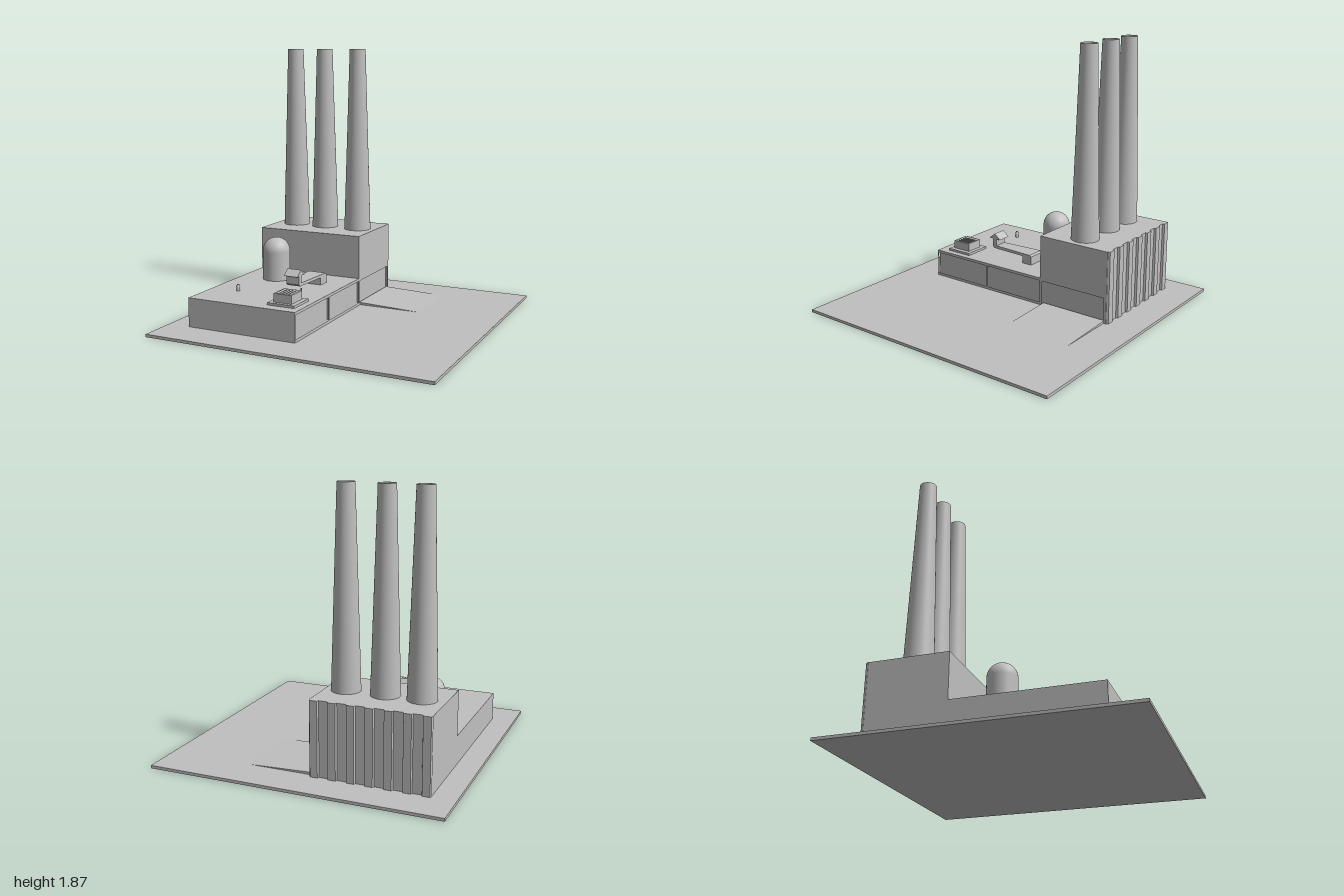
import * as THREE from 'three';

const concrete = new THREE.MeshStandardMaterial({ color: 0xc0c0c0 });

export function createModel() {
  const model = new THREE.Group();
  const add = (name, geometry) => {
    const mesh = new THREE.Mesh(geometry, concrete);
    mesh.name = name;
    model.add(mesh);
    return mesh;
  };
  // box from its minimum and maximum corners
  const box = (name, x0, x1, y0, y1, z0, z1) =>
    add(name, new THREE.BoxGeometry(x1 - x0, y1 - y0, z1 - z0)
      .translate((x0 + x1) / 2, (y0 + y1) / 2, (z0 + z1) / 2));
  const polygon = (pts, Type = THREE.Shape) => new Type(pts.map(([a, b]) => new THREE.Vector2(a, b)));
  const rect = (a0, a1, b0, b1) => [[a0, b0], [a1, b0], [a1, b1], [a0, b1]];
  // side profile given as [z, y], extruded along x
  const sideExtrude = (pts, x0, x1, holes = []) => {
    const flip = (list) => list.map(([z, y]) => [-z, y]);
    const shape = polygon(flip(pts));
    shape.holes = holes.map((h) => polygon(flip(h), THREE.Path));
    return new THREE.ExtrudeGeometry(shape, { depth: x1 - x0, bevelEnabled: false })
      .rotateY(Math.PI / 2).translate(x0, 0, 0);
  };
  // plan profile given as [x, z], extruded upwards
  const planExtrude = (pts, y0, y1, holes = []) => {
    const flip = (list) => list.map(([x, z]) => [x, -z]);
    const shape = polygon(flip(pts));
    shape.holes = holes.map((h) => polygon(flip(h), THREE.Path));
    return new THREE.ExtrudeGeometry(shape, { depth: y1 - y0, bevelEnabled: false })
      .rotateX(-Math.PI / 2).translate(0, y0, 0);
  };

  // Ground slab
  box('groundSlab', -1, 1, 0, 0.02, -1, 1);

  // L-shaped hall: low front, tall rear, with recessed bays on the left wall
  const hall = [[0.745, 0.02], [0.745, 0.22], [-0.21, 0.22], [-0.21, 0.53], [-0.752, 0.53], [-0.752, 0.02]];
  add('hall', sideExtrude(hall, -0.84, -0.05));
  add('bayWall', sideExtrude(hall, -0.05, -0.03, [
    rect(0.275, 0.735, 0.04, 0.2),
    rect(-0.205, 0.26, 0.04, 0.2),
    rect(-0.73, -0.225, 0.035, 0.2),
  ]));

  // Corrugation ribs on the back wall
  for (let i = 0; i < 7; i++) {
    const x = -0.81 + i * 0.1242;
    add('backRib', planExtrude([
      [x - 0.032, -0.75], [x - 0.026, -0.767], [x + 0.026, -0.767], [x + 0.032, -0.75],
    ], 0.02, 0.53));
  }

  // Loading ramp
  const ramp = new THREE.Shape([[-0.04, 0.015], [0.42, 0.015], [0.42, 0.02], [-0.03, 0.037], [-0.04, 0.037]]
    .map(([x, y]) => new THREE.Vector2(x, y)));
  add('ramp', new THREE.ExtrudeGeometry(ramp, { depth: 0.5, bevelEnabled: false }).translate(0, 0, -0.735));

  // Hollow tapering chimneys
  const lathe = (pts, seg = 40) => new THREE.LatheGeometry(pts.map(([r, y]) => new THREE.Vector2(r, y)), seg);
  for (const x of [-0.685, -0.44, -0.17]) {
    const stack = new THREE.Group();
    stack.name = 'chimney';
    stack.position.set(x, 0, -0.485);
    const parts = {
      chimneyShell: [[0.098, 0.53], [0.058, 1.865]],
      chimneyRim: [[0.058, 1.865], [0.051, 1.865]],
      chimneyBore: [[0.051, 1.865], [0.051, 0.532]],
      chimneyFloor: [[0.051, 0.532], [0, 0.532]],
    };
    for (const [name, pts] of Object.entries(parts)) stack.add(add(name, lathe(pts)));
    model.add(stack);
  }

  // Domed tank
  const tank = [[0.098, 0.22]];
  for (let i = 0; i <= 12; i++) {
    const a = (i / 12) * Math.PI / 2;
    tank.push([0.098 * Math.cos(a), 0.425 + 0.098 * Math.sin(a)]);
  }
  add('domedTank', lathe(tank)).position.set(-0.575, 0, 0.03);

  // Roof duct, narrowing towards its raised end
  const duct = sideExtrude([
    [-0.012, 0.22], [0.07, 0.22], [0.07, 0.272], [0.34, 0.272], [0.355, 0.285], [0.355, 0.345],
    [0.32, 0.345], [0.32, 0.293], [0.0, 0.293], [-0.012, 0.282],
  ], -1, 1);
  const p = duct.attributes.position;
  for (let i = 0; i < p.count; i++) {
    const half = 0.0675 - 0.0185 * Math.min(1, Math.max(0, p.getZ(i) / 0.3));
    p.setX(i, -0.26 + p.getX(i) * half);
  }
  duct.computeVertexNormals();
  add('roofDuct', duct);
  add('ductCowl', sideExtrude([[0.285, 0.345], [0.385, 0.345], [0.335, 0.386]], -0.312, -0.208));

  // Small vent pipe with a slanted cap
  add('ventPipe', new THREE.CylinderGeometry(0.011, 0.013, 0.03, 16)).position.set(-0.635, 0.235, 0.45);
  add('ventCap', new THREE.CylinderGeometry(0.008, 0.014, 0.018, 16)).position.set(-0.635, 0.257, 0.45);

  // Cooling unit: plinth, casing and slotted grille
  box('coolerPlinth', -0.275, -0.075, 0.22, 0.237, 0.475, 0.67);
  box('coolerCasing', -0.242, -0.108, 0.237, 0.275, 0.505, 0.645);
  const slots = [];
  for (let i = 0; i < 5; i++) {
    const x = -0.228 + i * 0.0225;
    slots.push(rect(x, x + 0.015, 0.518, 0.632));
  }
  add('coolerGrille', planExtrude(rect(-0.242, -0.108, 0.505, 0.645), 0.275, 0.296, slots));
  box('coolerPost', -0.114, -0.108, 0.296, 0.312, 0.505, 0.511);

  return model;
}
